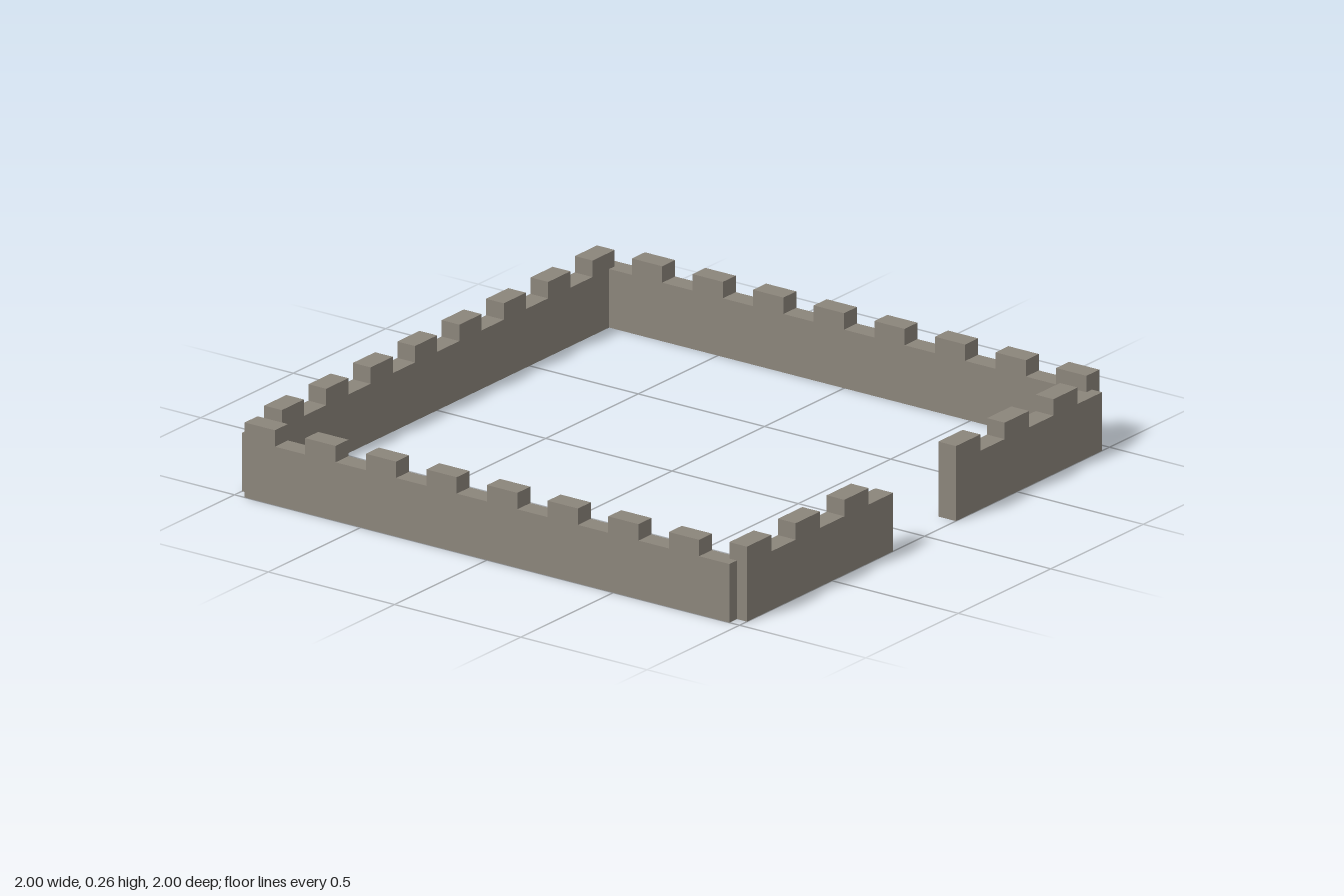
import * as THREE from 'three';

const WALL_TOP = 0.2, MERLON_TOP = 0.256, THICK = 0.07, HALF = 0.96, GATE = 0.17;

const stone = new THREE.MeshStandardMaterial({ color: 0x8b857b });
stone.name = 'stone';

// Crenellated wall from x0 to x1: even steps are merlons, odd steps are gaps.
function wallGeometry(x0, x1, steps) {
  const step = (x1 - x0) / steps;
  const outline = new THREE.Shape();
  outline.moveTo(x0, 0);
  for (let i = 0; i < steps; i++) {
    const y = i % 2 === 0 ? MERLON_TOP : WALL_TOP;
    outline.lineTo(x0 + i * step, y);
    outline.lineTo(x0 + (i + 1) * step, y);
  }
  outline.lineTo(x1, 0);
  outline.closePath();
  const geometry = new THREE.ExtrudeGeometry(outline, { depth: THICK, bevelEnabled: false });
  return geometry.translate(0, 0, 1 - THICK); // outer face at z = 1
}

export function createModel() {
  const model = new THREE.Group();
  model.name = 'courtyardWalls';

  const addWall = (name, geometry, angle = 0) => {
    const wall = new THREE.Mesh(geometry, stone);
    wall.name = name;
    wall.rotation.y = angle;
    model.add(wall);
  };

  // Front: two short walls with the gateway between them
  addWall('frontWallRight', wallGeometry(-HALF, -GATE, 6));
  addWall('frontWallLeft', wallGeometry(GATE, HALF, 6));

  // Three full walls, each turned a quarter further round the court
  const full = wallGeometry(-HALF, HALF, 16);
  addWall('leftWall', full, Math.PI / 2);
  addWall('backWall', full, Math.PI);
  addWall('rightWall', full, -Math.PI / 2);

  return model;
}
